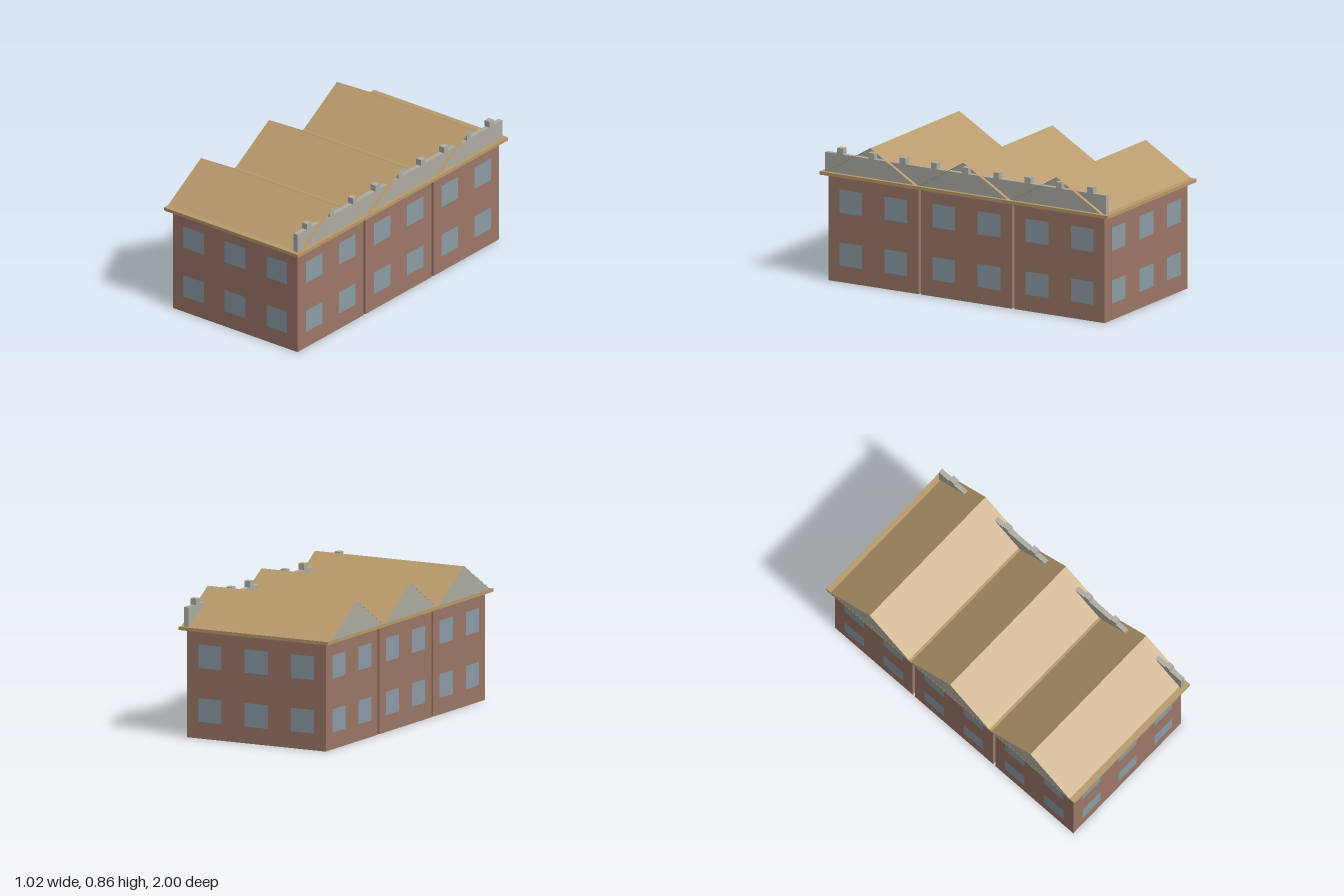
import * as THREE from 'three';

const mat = (color, side = THREE.FrontSide) =>
  new THREE.MeshStandardMaterial({ color, side, flatShading: true });

export function createModel() {
  const group = new THREE.Group();
  const brick = mat(0x9c7868);
  const glass = mat(0x8c9ca6);
  const tan = mat(0xb89a6c);
  const tanThin = mat(0xb89a6c, THREE.DoubleSide);
  const stone = mat(0xaeaca2);
  const stoneThin = mat(0xaeaca2, THREE.DoubleSide);

  const add = (name, geometry, material, x, y, z, parent = group) => {
    const mesh = new THREE.Mesh(geometry, material);
    mesh.name = name;
    mesh.position.set(x, y, z);
    parent.add(mesh);
    return mesh;
  };
  const box = (name, w, h, d, material, x, y, z, parent) =>
    add(name, new THREE.BoxGeometry(w, h, d), material, x, y, z, parent);

  const wallX = 0.473, wallTop = 0.65, slabTop = 0.67;
  const roofX = 0.508, ridge = 0.86, roofHalf = 0.315;
  const spacing = 0.647;
  const windowRows = [0.172, 0.496];
  const pane = new THREE.PlaneGeometry(0.157, 0.142);

  // Panes sit just proud of the brickwork
  const addWindow = (x, y, z, turn, parent) => {
    add('window', pane, glass, x, y, z, parent).rotation.y = turn;
  };

  // Gable outline drawn in z and y, shared by every end wall
  const gableShape = new THREE.Shape([
    new THREE.Vector2(-roofHalf, 0),
    new THREE.Vector2(roofHalf, 0),
    new THREE.Vector2(0, ridge - slabTop),
  ]);
  const gable = new THREE.ShapeGeometry(gableShape);
  const rise = ridge - slabTop;
  const slope = new THREE.PlaneGeometry(roofX * 2, Math.hypot(roofHalf, rise));
  const pitch = Math.atan2(roofHalf, rise);

  for (const i of [-1, 0, 1]) {
    const z = i * spacing;
    const house = new THREE.Group();
    house.name = 'house';
    group.add(house);
    const depth = i === 0 ? 0.63 : 0.626;
    box('brickWalls', wallX * 2, wallTop, depth, brick, 0, wallTop / 2, z, house);

    // Side windows
    for (const y of windowRows) for (const dz of [-0.157, 0.157]) for (const s of [-1, 1])
      addWindow(s * (wallX + 0.001), y, z + dz, s * Math.PI / 2, house);

    // Two roof slopes
    for (const s of [-1, 1])
      add('roofSlope', slope, tanThin, 0, (slabTop + ridge) / 2, z + s * roofHalf / 2, house)
        .rotation.x = -s * pitch;

    // Gable ends: flush on one side, set behind the roof edge at the parapet
    for (const x of [-roofX + 0.001, 0.455])
      add('gable', gable, stoneThin, x, slabTop, z, house).rotation.y = -Math.PI / 2;
  }

  // Windows on the two end walls
  for (const s of [-1, 1]) for (const y of windowRows) for (const x of [-0.315, 0, 0.315])
    addWindow(x, y, s * (spacing + 0.313 + 0.001), s > 0 ? 0 : Math.PI, group);

  // Eaves slab
  box('eavesSlab', roofX * 2, slabTop - wallTop, 2, tan, 0, (slabTop + wallTop) / 2, 0);

  // Parapet with a row of caps
  box('parapet', 0.03, 0.117, 1.95, stone, 0.47, slabTop + 0.0585, 0);
  for (let i = -4; i <= 4; i++)
    box('parapetCap', 0.038, 0.038, 0.04, stone, 0.47, 0.806, i * 0.217);

  return group;
}
